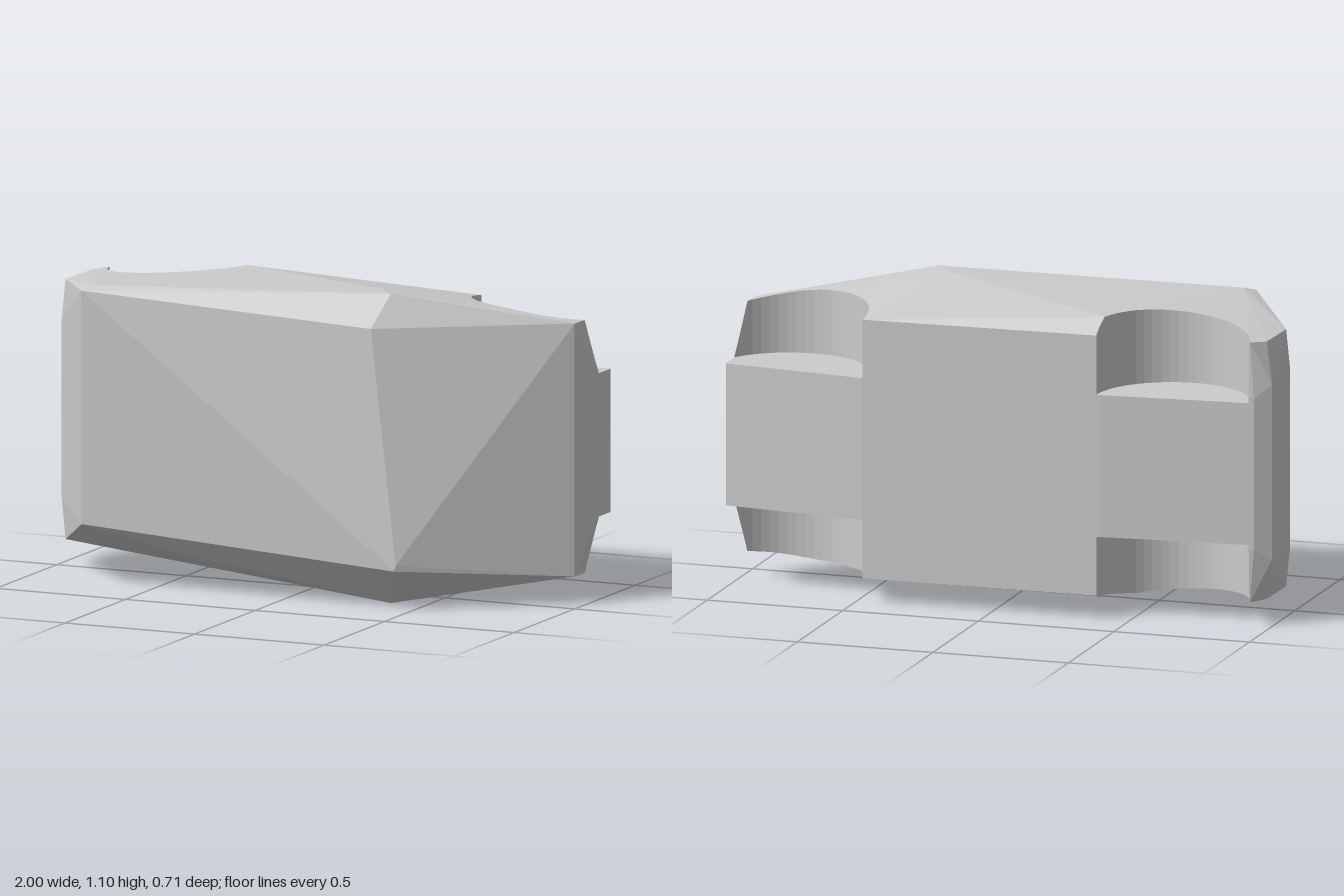
import * as THREE from 'three';
import { ConvexGeometry } from 'three/addons/geometries/ConvexGeometry.js';

const V = (x, y, z) => new THREE.Vector3(x, y, z);

// Corners of the faceted block before the scoops are cut.
const CORNERS = [
  // front face and its bevels
  V(-0.74, 1.055, 0.353), V(-0.71, 1.07, 0.31), V(0.33, 0.985, 0.25),
  V(0.445, 0.14, 0.305), V(0.45, 0.16, 0.303), V(-0.76, 0.215, 0.307), V(-0.38, 0.125, 0.25),
  // top and bottom ridges
  V(0.37, 1.1, 0.17), V(0.3, 1.099, 0.09), V(0.37, 0, 0.17), V(0.3, 0.001, 0.1),
  // back face
  V(0.48, 1.015, -0.355), V(0.48, 0.085, -0.355),
  V(-0.395, 1.018, -0.335), V(-0.395, 1.07, -0.265), V(-0.395, 0.083, -0.335),
  // +x end
  V(0.965, 1.0, -0.075), V(0.965, 0.1, -0.075), V(0.968, 1.0, -0.15), V(0.968, 0.1, -0.15),
  V(1, 0.81, -0.18), V(1, 0.29, -0.18), V(1, 0.81, -0.295), V(1, 0.29, -0.295),
  // -x end
  V(-0.975, 1.015, -0.02), V(-0.99, 0.87, -0.02), V(-0.99, 0.24, -0.02), V(-0.975, 0.09, -0.02),
  V(-0.97, 1.015, -0.22), V(-0.97, 0.09, -0.22), V(-1, 0.87, -0.25), V(-1, 0.24, -0.25),
  V(-0.925, 1.02, -0.272), V(-0.925, 0.085, -0.272), V(-0.945, 0.82, -0.284), V(-0.945, 0.28, -0.284),
];

// Keeps the part of a convex polygon on one side of a plane (side 1 = in front, -1 = behind).
function clip(poly, plane, side) {
  const out = [];
  poly.forEach((a, i) => {
    const b = poly[(i + 1) % poly.length];
    const da = plane.distanceToPoint(a) * side;
    const db = plane.distanceToPoint(b) * side;
    if (da >= 0) out.push(a);
    if ((da >= 0) !== (db >= 0)) out.push(a.clone().lerp(b, da / (da - db)));
  });
  return out.length > 2 ? out : [];
}

const planeOf = (poly) => new THREE.Plane().setFromCoplanarPoints(poly[0], poly[1], poly[2]);

// Faces of the convex block
function hullFaces() {
  const p = new ConvexGeometry(CORNERS).getAttribute('position');
  const faces = [];
  for (let i = 0; i < p.count; i += 3) {
    const f = [0, 1, 2].map((k) => new THREE.Vector3().fromBufferAttribute(p, i + k));
    if (new THREE.Triangle(...f).getArea() > 1e-7) faces.push(f);
  }
  return faces;
}

// Faces of an upright round cutter
function cutterFaces(cx, cz, r, y0, y1, n = 56) {
  const ring = (y) => Array.from({ length: n }, (_, i) => {
    const a = (i / n) * Math.PI * 2;
    return V(cx + r * Math.cos(a), y, cz - r * Math.sin(a));
  });
  const lo = ring(y0), hi = ring(y1);
  const walls = lo.map((p, i) => {
    const j = (i + 1) % n;
    return [p, lo[j], hi[j], hi[i]];
  });
  return [...walls, hi, [...lo].reverse()];
}

// Removes the inside of a convex solid from a list of polygons.
function subtract(polys, planes) {
  const kept = [];
  for (const poly of polys) {
    let rest = poly;
    const pieces = [];
    for (const pl of planes) {
      const outside = clip(rest, pl, 1);
      if (outside.length) pieces.push(outside);
      rest = clip(rest, pl, -1);
      if (!rest.length) break;
    }
    if (rest.length) kept.push(...pieces);
    else kept.push(poly);
  }
  return kept;
}

// Fans polygons into a flat-shaded geometry.
function toGeometry(polys) {
  const pts = [];
  for (const p of polys) {
    for (let i = 1; i < p.length - 1; i++) pts.push(p[0], p[i], p[i + 1]);
  }
  const g = new THREE.BufferGeometry().setFromPoints(pts);
  g.computeVertexNormals();
  return g;
}

export function createModel() {
  const group = new THREE.Group();
  group.name = 'scoopedBlock';
  const material = new THREE.MeshStandardMaterial({ color: 0xcccccc, flatShading: true });
  const add = (name, polys) => {
    const mesh = new THREE.Mesh(toGeometry(polys), material);
    mesh.name = name;
    group.add(mesh);
  };

  const hull = hullFaces();
  const hullPlanes = hull.map(planeOf);
  let skin = hull;

  // Four round scoops in the back, two from above and two from below
  for (const [side, cx, cz, r] of [['right', -0.655, -0.33, 0.275], ['left', 0.755, -0.335, 0.281]]) {
    for (const [level, y0, y1] of [['upper', 0.805, 1.5], ['lower', -0.5, 0.295]]) {
      const faces = cutterFaces(cx, cz, r, y0, y1);
      skin = subtract(skin, faces.map(planeOf));
      const inner = faces
        .map((f) => hullPlanes.reduce((p, pl) => (p.length ? clip(p, pl, -1) : p), f))
        .filter((p) => p.length)
        .map((p) => [...p].reverse());
      add(`${level}${side === 'left' ? 'Left' : 'Right'}Scoop`, inner);
    }
  }
  add('blockShell', skin);
  return group;
}
